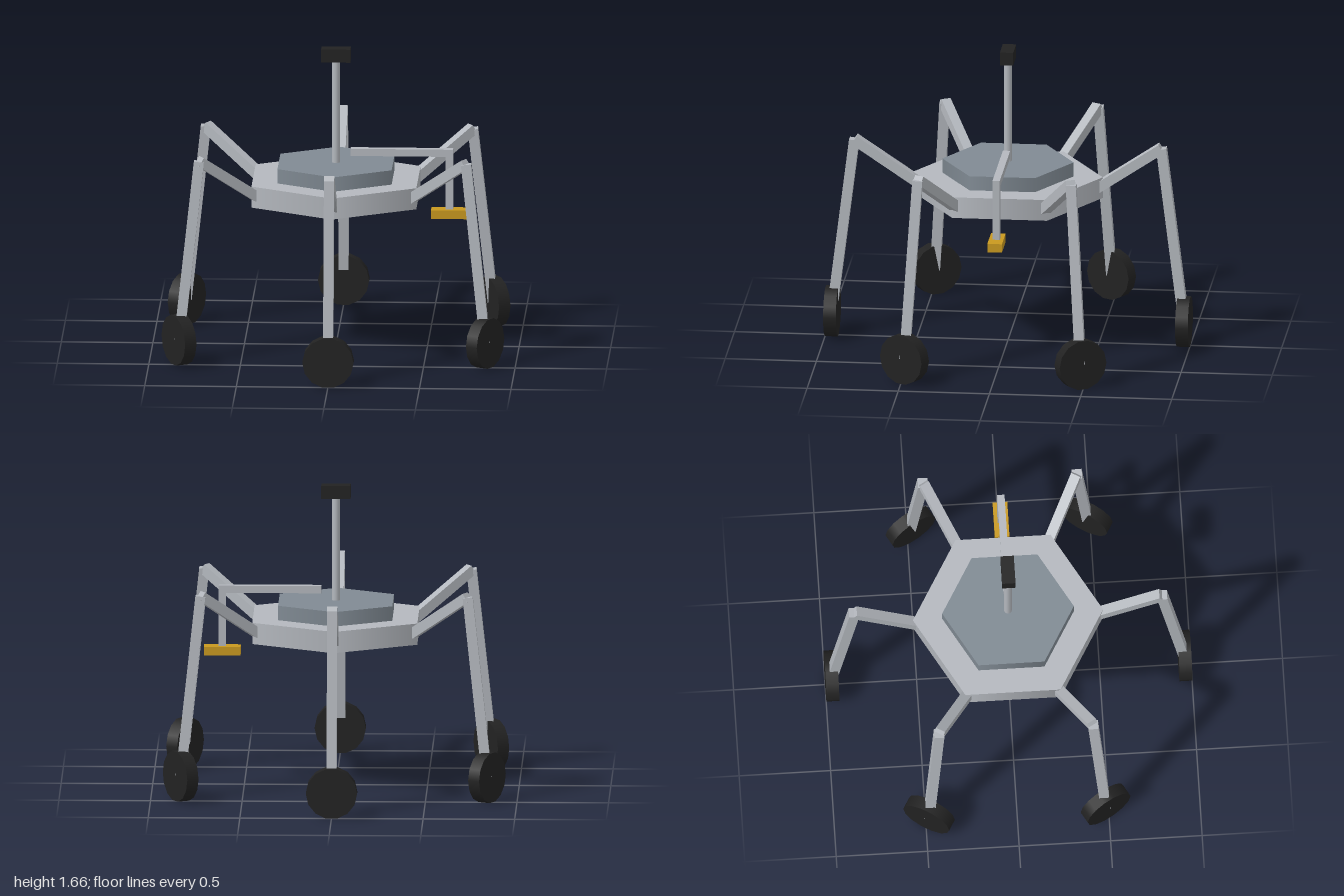
import * as THREE from 'three';

export function createModel() {
  const model = new THREE.Group();
  const material = (name, color) => {
    const m = new THREE.MeshStandardMaterial({ color });
    m.name = name;
    return m;
  };
  const metal = material('light metal', 0xb4b8be);
  const slate = material('slate grey', 0x808a93);
  const black = material('black rubber', 0x222222);
  const gold = material('gold', 0xc9991f);

  const add = (name, geometry, mat, x, y, z, parent = model) => {
    const mesh = new THREE.Mesh(geometry, mat);
    mesh.name = name;
    mesh.position.set(x, y, z);
    parent.add(mesh);
    return mesh;
  };
  const box = (name, mat, w, h, d, x, y, z) =>
    add(name, new THREE.BoxGeometry(w, h, d), mat, x, y, z);

  // Square beam between two points; steep beams stay aligned to the x axis
  const beam = (name, a, b, width, parent) => {
    const dir = b.clone().sub(a);
    const length = dir.length();
    dir.normalize();
    const up = Math.abs(dir.y) > 0.9 ? new THREE.Vector3(1, 0, 0) : new THREE.Vector3(0, 1, 0);
    const side = up.cross(dir).normalize();
    const mid = a.clone().add(b).multiplyScalar(0.5);
    const mesh = add(name, new THREE.BoxGeometry(width, width, length), metal, mid.x, mid.y, mid.z, parent);
    mesh.quaternion.setFromRotationMatrix(
      new THREE.Matrix4().makeBasis(side, dir.clone().cross(side), dir));
  };

  // Hexagonal body and raised deck
  add('body', new THREE.CylinderGeometry(0.52, 0.52, 0.118, 6), metal, 0, 0.886, 0);
  add('deck', new THREE.CylinderGeometry(0.36, 0.36, 0.08, 6), slate, 0, 0.985, 0);

  // Camera mast
  add('mast', new THREE.CylinderGeometry(0.022, 0.022, 0.59, 10), metal, 0, 1.315, 0);
  box('cameraHead', black, 0.16, 0.073, 0.073, 0, 1.628, 0);

  // Tool arm on the left side
  box('armBoom', metal, 0.56, 0.04, 0.04, 0.36, 1.085, 0);
  box('armDrop', metal, 0.04, 0.335, 0.04, 0.62, 0.9325, 0);
  box('armTool', gold, 0.2, 0.048, 0.08, 0.62, 0.745, 0);

  // Six wheeled legs at the corners of the body
  for (let i = 0; i < 6; i++) {
    const angle = (i * Math.PI) / 3;
    const at = (r, y) => new THREE.Vector3(r * Math.sin(angle), y, r * Math.cos(angle));
    const leg = new THREE.Group();
    leg.name = 'leg' + (i + 1);
    model.add(leg);
    beam('upperLeg', at(0.49, 0.886), at(0.842, 1.122), 0.055, leg);
    beam('lowerLeg', at(0.842, 1.122), at(0.965, 0.137), 0.055, leg);
    // Wheel axis points outwards, with a flat side on the ground
    const wheelGeometry = new THREE.CylinderGeometry(0.14, 0.14, 0.07, 14);
    wheelGeometry.rotateY(Math.PI / 2).rotateX(Math.PI / 2).rotateY(angle);
    const hub = at(0.965, 0.1365);
    add('wheel', wheelGeometry, black, hub.x, hub.y, hub.z, leg);
  }
  return model;
}
